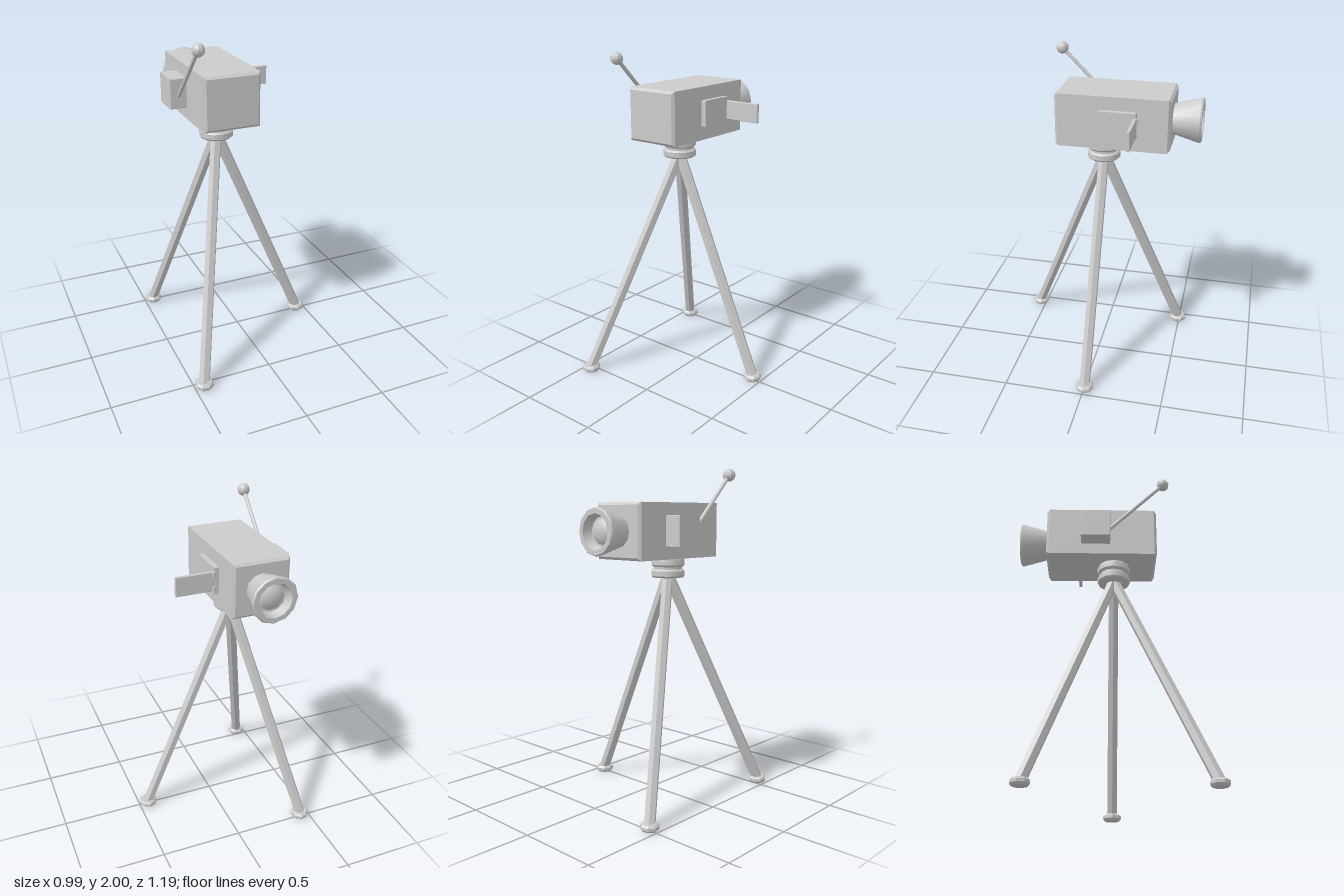
import * as THREE from 'three';
import { toCreasedNormals } from 'three/addons/utils/BufferGeometryUtils.js';

const material = new THREE.MeshStandardMaterial({ color: 0xcccccc });
const flat = new THREE.MeshStandardMaterial({ color: 0xcccccc, flatShading: true });
const CX = -0.135, CZ = -0.005;

function add(parent, name, geometry, x, y, z, mat = flat) {
  const mesh = new THREE.Mesh(geometry, mat);
  mesh.name = name;
  mesh.position.set(x, y, z);
  parent.add(mesh);
  return mesh;
}

// Turned part with sharp profile edges but smooth sides
function turned(points, sides) {
  const pts = points.map(([r, y]) => new THREE.Vector2(r, y));
  return toCreasedNormals(new THREE.LatheGeometry(pts, sides), 0.65);
}

// Box with chamfered edges
function chamferBox(w, h, d, b) {
  const x = w / 2 - b, y = h / 2 - b;
  const shape = new THREE.Shape([[-x, -y], [x, -y], [x, y], [-x, y]].map(p => new THREE.Vector2(...p)));
  return new THREE.ExtrudeGeometry(shape, {
    depth: d - 2 * b, bevelEnabled: true, bevelSize: b, bevelThickness: b, bevelSegments: 1,
  }).translate(0, 0, b - d / 2);
}

// Straight bar between two points; the twist turns its facets
function bar(parent, name, a, b, radius, sides, twist = 0) {
  const dir = b.clone().sub(a);
  const geometry = new THREE.CylinderGeometry(radius, radius, dir.length(), sides).rotateY(twist);
  const mid = a.clone().add(b).multiplyScalar(0.5);
  const mesh = add(parent, name, geometry, mid.x, mid.y, mid.z);
  mesh.quaternion.setFromUnitVectors(new THREE.Vector3(0, 1, 0), dir.normalize());
  return mesh;
}

export function createModel() {
  const model = new THREE.Group();
  model.name = 'cameraOnTripod';

  // Camera body
  add(model, 'body', chamferBox(0.34, 0.32, 0.685, 0.015), CX, 1.64, -0.083);

  // Flared lens hood with a recessed domed lens
  const hood = turned([
    [0, 0], [0.09, 0], [0.135, 0.165], [0.128, 0.175],
    [0.1, 0.175], [0.085, 0.12], [0.07, 0.12],
  ], 12).rotateX(-Math.PI / 2);
  add(model, 'lensHood', hood, CX, 1.64, -0.42, material);
  const glass = turned([[0.075, 0.118], [0.06, 0.132], [0.035, 0.142], [0, 0.146]], 12).rotateX(-Math.PI / 2);
  add(model, 'lens', glass, CX, 1.64, -0.42, material);

  // Fold-out screen on the left side
  add(model, 'screenBase', chamferBox(0.04, 0.16, 0.225, 0.004), 0.045, 1.64, -0.118);
  add(model, 'screen', chamferBox(0.225, 0.115, 0.02, 0.003), 0.178, 1.638, -0.225);
  for (const y of [1.595, 1.68]) {
    add(model, 'hingeKnuckle', new THREE.CylinderGeometry(0.009, 0.009, 0.025, 8), 0.066, y, -0.236);
  }

  // Gear box with angled handle on the right side
  add(model, 'handleBox', chamferBox(0.11, 0.18, 0.18, 0.004), -0.35, 1.64, -0.12);
  const knob = new THREE.Vector3(-0.35, 1.965, 0.303);
  bar(model, 'handleRod', new THREE.Vector3(-0.35, 1.62, -0.042), knob, 0.012, 8);
  add(model, 'handleKnob', new THREE.SphereGeometry(0.038, 10, 8), knob.x, knob.y, knob.z);

  // Two-disc swivel mount
  const mount = turned([
    [0, 1.36], [0.093, 1.36], [0.102, 1.37], [0.102, 1.4], [0.093, 1.41],
    [0.085, 1.41], [0.085, 1.425],
    [0.093, 1.425], [0.102, 1.435], [0.102, 1.47], [0.093, 1.485], [0, 1.485],
  ], 12);
  add(model, 'swivelMount', mount, CX, 0, CZ, material);

  // Tripod legs and chamfered feet
  const hub = new THREE.Vector3(CX, 1.38, CZ);
  for (const [x, z] of [[0.442, CZ], [-0.442, -0.491], [-0.442, 0.537]]) {
    const foot = new THREE.Vector3(x, 0.025, z);
    bar(model, 'leg', hub, foot, 0.034, 6, Math.atan2(x - CX, z - CZ));
    const pad = new THREE.LatheGeometry(
      [[0, 0], [0.045, 0], [0.056, 0.012], [0.056, 0.028], [0.045, 0.04], [0, 0.04]]
        .map(p => new THREE.Vector2(...p)), 8);
    add(model, 'foot', pad, x, 0, z).rotation.y = Math.atan2(x - CX, z - CZ);
  }
  return model;
}
